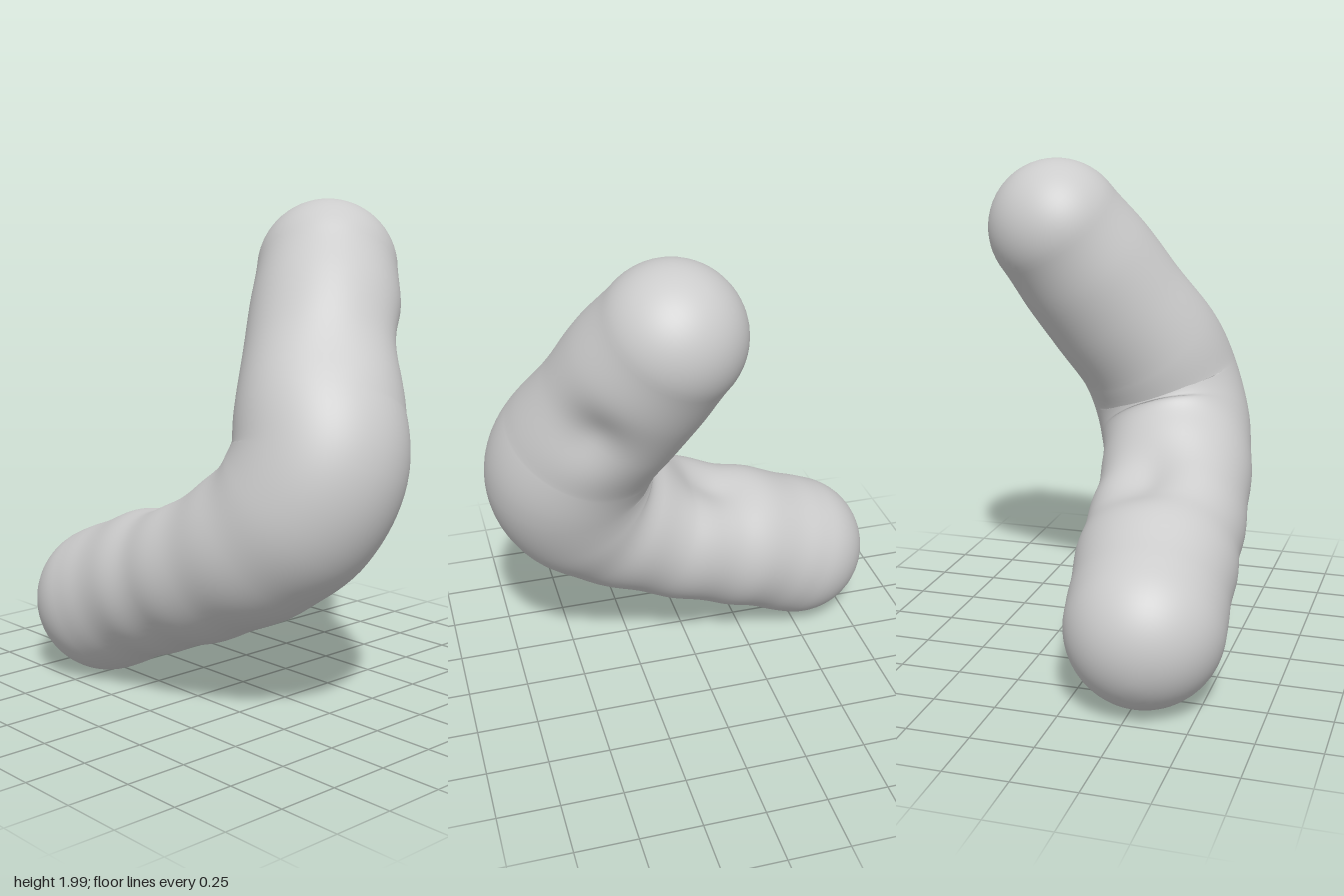
import * as THREE from 'three';

// Centreline of the bent limb: x, y, z, radius, sideways stretch
const STATIONS = [
  [-0.54, 0.315, 0.28, 0.31, 1], [-0.3, 0.422, 0.25, 0.305, 1.05], [-0.1, 0.5, 0.23, 0.304, 1.06],
  [0.11, 0.59, 0.215, 0.307, 1.04], [0.32, 0.71, 0.185, 0.318, 1.0], [0.455, 0.845, 0.14, 0.338, 0.96],
  [0.505, 1.01, 0.08, 0.342, 0.95], [0.45, 1.18, 0.02, 0.33, 0.97], [0.345, 1.38, -0.1, 0.31, 1],
  [0.26, 1.555, -0.205, 0.302, 1], [0.175, 1.715, -0.3, 0.283, 1],
];

// Thumb-like hollows: centre, spread, depth
const DENTS = [
  { at: new THREE.Vector3(-0.12, 0.79, 0.16), spread: 0.11, depth: 0.08 },
  { at: new THREE.Vector3(0.49, 1.36, -0.35), spread: 0.1, depth: 0.06 },
  { at: new THREE.Vector3(0.58, 1.44, 0.1), spread: 0.12, depth: 0.02 },
];

const SIDES = 64, BODY = 90, CAP = 16;

function limbGeometry() {
  const curve = new THREE.CatmullRomCurve3(STATIONS.map(s => new THREE.Vector3(s[0], s[1], s[2])), false, 'centripetal');
  const girth = new THREE.SplineCurve(STATIONS.map(s => new THREE.Vector2(s[3], s[4])));

  // Rings: t along the path, push beyond the end, and shrink of the radius
  const rings = [];
  for (let i = 0; i < CAP; i++) {
    const a = (i / CAP) * Math.PI / 2;
    rings.push({ t: 0, push: -Math.cos(a), shrink: Math.sin(a) });
  }
  for (let i = 0; i <= BODY; i++) rings.push({ t: i / BODY, push: 0, shrink: 1 });
  for (let i = 1; i <= CAP; i++) {
    const a = (i / CAP) * Math.PI / 2;
    rings.push({ t: 1, push: Math.sin(a), shrink: Math.cos(a) });
  }

  const positions = [], index = [];
  const side = new THREE.Vector3(0, 0, 1);
  for (const { t, push, shrink } of rings) {
    const tangent = curve.getTangent(t);
    // Carry the frame along so the rings do not twist
    side.addScaledVector(tangent, -side.dot(tangent)).normalize();
    const up = new THREE.Vector3().crossVectors(side, tangent);
    const { x: r, y: wide } = girth.getPoint(t);
    const centre = curve.getPoint(t).addScaledVector(tangent, push * r);
    // Faint rolls along the lower half
    const lower = 1 - THREE.MathUtils.smoothstep(t, 0.3, 0.55);
    const roll = 0.004 * lower * Math.cos(t * 50) * THREE.MathUtils.smoothstep(t, 0, 0.06);
    for (let j = 0; j < SIDES; j++) {
      const a = (j / SIDES) * Math.PI * 2;
      const p = centre.clone()
        .addScaledVector(side, Math.cos(a) * (r * wide + roll) * shrink)
        .addScaledVector(up, Math.sin(a) * (r + roll) * shrink);
      const inward = centre.clone().sub(p).normalize();
      for (const d of DENTS) {
        const q = p.distanceToSquared(d.at) / (2 * d.spread * d.spread);
        p.addScaledVector(inward, d.depth * Math.exp(-q));
      }
      positions.push(p.x, p.y, p.z);
    }
  }
  for (let i = 0; i < rings.length - 1; i++) {
    for (let j = 0; j < SIDES; j++) {
      const k = (j + 1) % SIDES;
      const a = i * SIDES + j, b = i * SIDES + k, c = a + SIDES, d = b + SIDES;
      index.push(a, c, b, b, c, d);
    }
  }
  const g = new THREE.BufferGeometry();
  g.setAttribute('position', new THREE.Float32BufferAttribute(positions, 3));
  g.setIndex(index);
  g.computeVertexNormals();
  // The two pole rings collapse to points, so give them the axis as normal
  const n = g.attributes.normal, last = (rings.length - 1) * SIDES;
  const start = curve.getTangent(0).negate(), end = curve.getTangent(1);
  for (let j = 0; j < SIDES; j++) {
    n.setXYZ(j, start.x, start.y, start.z);
    n.setXYZ(last + j, end.x, end.y, end.z);
  }
  return g;
}

export function createModel() {
  const group = new THREE.Group();
  group.name = 'bentLimb';
  const grey = new THREE.MeshStandardMaterial({ color: 0xcccccc });
  grey.name = 'grey';
  const body = new THREE.Mesh(limbGeometry(), grey);
  body.name = 'body';
  group.add(body);
  return group;
}
